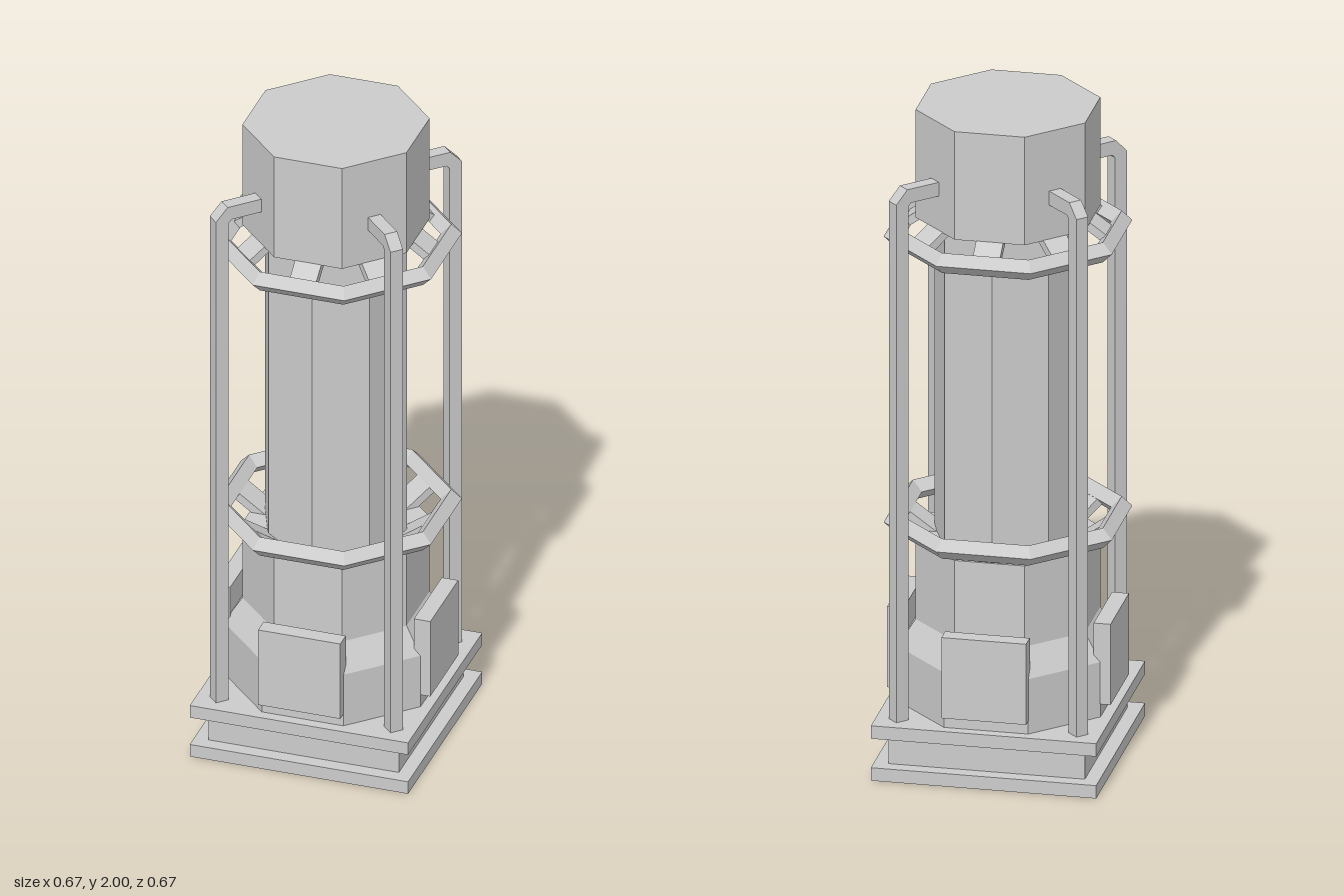
import * as THREE from 'three';

const material = new THREE.MeshStandardMaterial({ color: 0xcccccc, flatShading: true });
const FLAT = 1 / Math.cos(Math.PI / 8); // octagon: flat distance to corner radius

function add(parent, name, geometry, x = 0, y = 0, z = 0) {
  const mesh = new THREE.Mesh(geometry, material);
  mesh.name = name;
  mesh.position.set(x, y, z);
  parent.add(mesh);
  return mesh;
}

// Box between two heights
function slab(parent, name, width, y0, y1) {
  add(parent, name, new THREE.BoxGeometry(width, y1 - y0, width), 0, (y0 + y1) / 2);
}

// Octagonal section with flat sides on the axes
function octagon(parent, name, bottom, top, y0, y1) {
  const g = new THREE.CylinderGeometry(top * FLAT, bottom * FLAT, y1 - y0, 8);
  add(parent, name, g.rotateY(Math.PI / 8), 0, (y0 + y1) / 2);
}

// Repeat a part around the vertical axis; it is built pointing along +x
function around(parent, count, offset, build) {
  for (let i = 0; i < count; i++) {
    const arm = new THREE.Group();
    arm.rotation.y = offset + (i * Math.PI * 2) / count;
    build(arm);
    parent.add(arm);
  }
}

// Extrude an (x, y) outline, centred in z
function plate(points, depth) {
  const shape = new THREE.Shape(points.map(([x, y]) => new THREE.Vector2(x, y)));
  return new THREE.ExtrudeGeometry(shape, { depth, bevelEnabled: false }).translate(0, 0, -depth / 2);
}

export function createModel() {
  const model = new THREE.Group();
  model.name = 'tower';

  // Stepped square base
  slab(model, 'baseBottom', 0.665, 0, 0.04);
  slab(model, 'baseMiddle', 0.58, 0.04, 0.13);
  slab(model, 'baseTop', 0.665, 0.13, 0.17);

  // Lower body with sloped shoulder, and the cap
  octagon(model, 'foot', 0.3, 0.3, 0.17, 0.34);
  octagon(model, 'shoulder', 0.3, 0.25, 0.34, 0.42);
  octagon(model, 'lowerBody', 0.25, 0.25, 0.42, 0.67);
  octagon(model, 'cap', 0.25, 0.25, 1.665, 2);

  // Column, with its corners on the axes
  add(model, 'column', new THREE.CylinderGeometry(0.217, 0.217, 1.1, 8), 0, 1.17, 0);

  // Rings with diamond section, each held by eight sloped struts
  for (const [y, inward] of [[0.727, -1], [1.613, 1]]) {
    const torus = new THREE.TorusGeometry(0.308 * FLAT, 0.031, 4, 8);
    add(model, 'ring', torus.rotateX(Math.PI / 2).rotateY(Math.PI / 8), 0, y, 0);
    around(model, 8, 0, (arm) => {
      const strut = add(arm, 'ringStrut', new THREE.BoxGeometry(0.12, 0.025, 0.08), 0.243, y + inward * 0.043, 0);
      strut.rotation.z = -inward * 0.62;
    });
  }

  // Side panels
  around(model, 4, 0, (arm) => {
    add(arm, 'sidePanel', new THREE.BoxGeometry(0.05, 0.25, 0.25), 0.305, 0.335, 0);
  });

  // Corner pipes bending into the cap
  const pipe = [
    [0.355, 0.16], [0.396, 0.16], [0.396, 1.775], [0.358, 1.815],
    [0.23, 1.815], [0.23, 1.772], [0.345, 1.772], [0.355, 1.762],
  ];
  around(model, 4, Math.PI / 4, (arm) => add(arm, 'cornerPipe', plate(pipe, 0.04)));

  return model;
}
